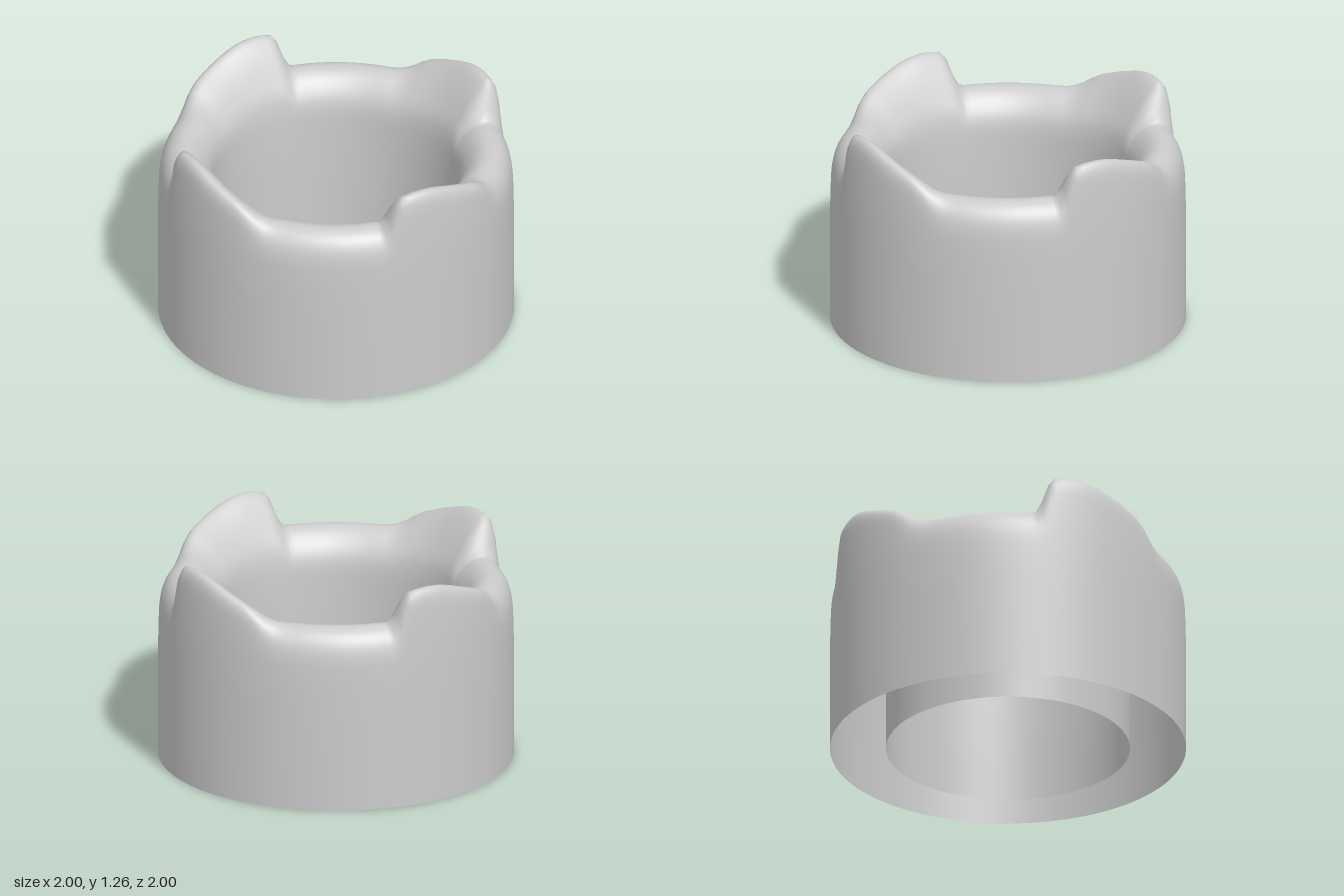
import * as THREE from 'three';

const AROUND = 180, ALONG = 44;

// Wall cross-sections [radius, height]: outer foot, over the rim, inner foot
const LOW = [[1, 0], [1, 0.4], [0.997, 0.75], [0.985, 0.92], [0.945, 1.01], [0.88, 1.05],
  [0.81, 1.04], [0.745, 0.98], [0.70, 0.88], [0.69, 0.7], [0.685, 0.35], [0.685, 0]];
const LEAN = [[1, 0], [1, 0.4], [0.998, 0.75], [0.99, 0.96], [0.975, 1.05], [0.935, 1.08],
  [0.86, 1.05], [0.77, 0.99], [0.705, 0.89], [0.69, 0.7], [0.685, 0.35], [0.685, 0]];
const HIGH = [[1, 0], [1, 0.4], [0.998, 0.78], [0.99, 1.05], [0.975, 1.215], [0.93, 1.26],
  [0.86, 1.2], [0.775, 1.07], [0.71, 0.93], [0.69, 0.7], [0.685, 0.35], [0.685, 0]];

// Linear lookup in [angle, value] keys
function lookup(keys, a) {
  for (let i = 1; i < keys.length; i++) {
    const [a0, v0] = keys[i - 1], [a1, v1] = keys[i];
    if (a <= a1) return THREE.MathUtils.lerp(v0, v1, (a - a0) / (a1 - a0));
  }
  return keys[keys.length - 1][1];
}

// Each quarter turn: steep rise at 0, long fall to 45, low stretch to 90
const HEIGHT = [[0, 0.4], [2, 0.8], [4, 0.93], [8, 0.99], [12, 1], [16, 0.96], [20, 0.87], [28, 0.63],
  [36, 0.36], [42, 0.12], [46, 0], [88, 0], [90, 0.4]];
const OUTWARD = [[0, 0.6], [2, 0.9], [4, 1], [36, 1], [40, 0.88], [44, 0.5], [48, 0.12], [52, 0],
  [86, 0], [88, 0.15], [90, 0.6]];

function sectionAt(degrees) {
  const a = degrees % 90, h = lookup(HEIGHT, a), s = lookup(OUTWARD, a);
  const pts = LOW.map((low, i) => {
    const mix = k => THREE.MathUtils.lerp(low[k], THREE.MathUtils.lerp(LEAN[i][k], HIGH[i][k], h), s);
    return new THREE.Vector2(mix(0), mix(1));
  });
  return new THREE.SplineCurve(pts).getPoints(ALONG);
}

export function createModel() {
  const positions = [], index = [], row = ALONG + 1;
  for (let i = 0; i < AROUND; i++) {
    const degrees = i * 360 / AROUND, t = THREE.MathUtils.degToRad(degrees);
    for (const p of sectionAt(degrees)) positions.push(Math.sin(t) * p.x, p.y, Math.cos(t) * p.x);
    for (let j = 0; j < ALONG; j++) {
      const a = i * row + j, b = ((i + 1) % AROUND) * row + j;
      index.push(a, b, a + 1, b, b + 1, a + 1);
    }
  }
  const geometry = new THREE.BufferGeometry();
  geometry.setAttribute('position', new THREE.Float32BufferAttribute(positions, 3));
  geometry.setIndex(index);
  geometry.computeVertexNormals();

  // Hollow double wall, open underneath
  const wall = new THREE.Mesh(geometry,
    new THREE.MeshStandardMaterial({ color: 0xcccccc, side: THREE.DoubleSide }));
  wall.name = 'wavyRingWall';
  const group = new THREE.Group();
  group.name = 'wavyRing';
  group.add(wall);
  return group;
}
